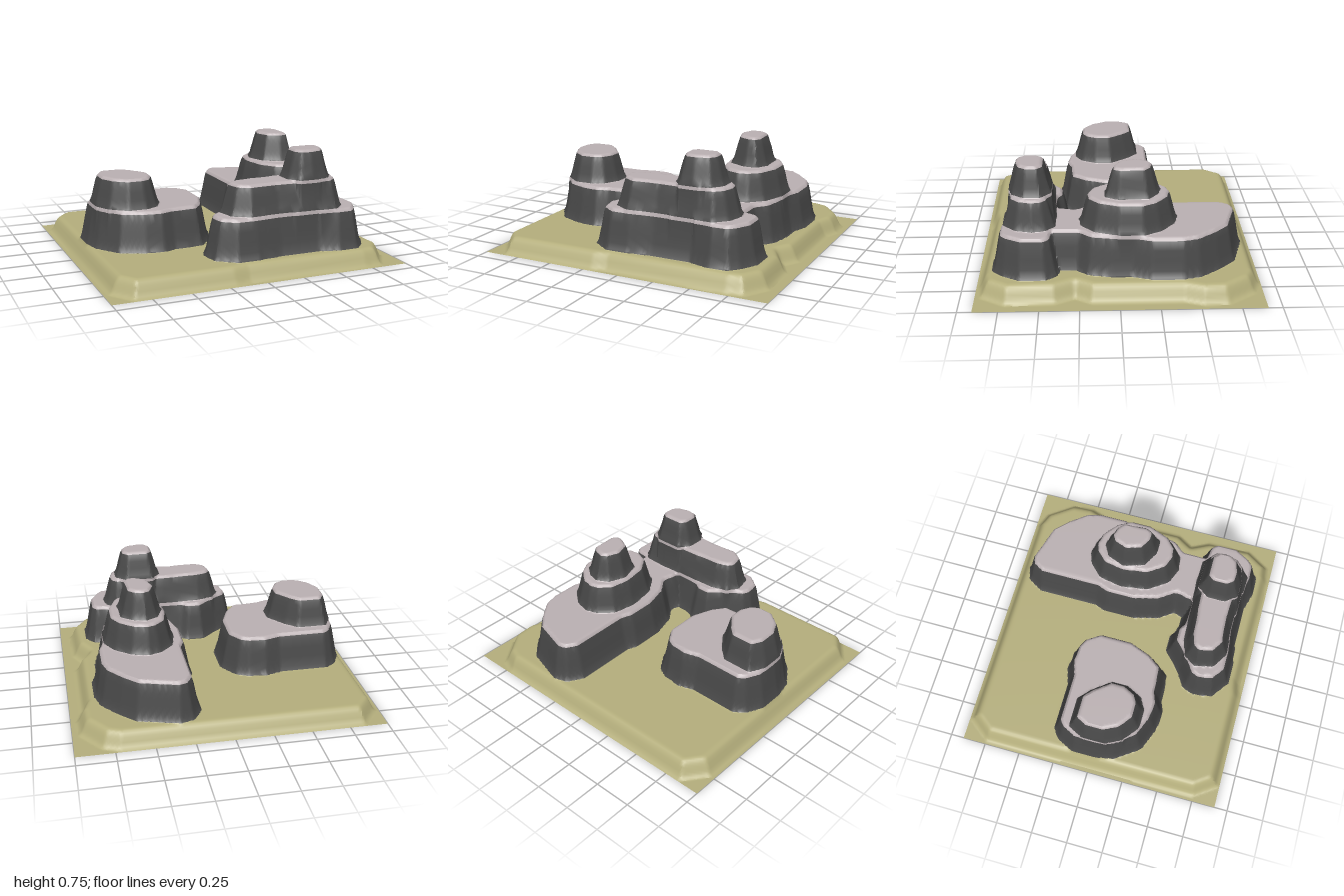
import * as THREE from 'three';
import { toCreasedNormals } from 'three/addons/utils/BufferGeometryUtils.js';

// Terraces: foot outline (x, z pairs), foot height, top height
const GROUND = [-.98, -.75, -.86, -.905, .72, -.905, .83, -.86, .96, -.68, .97, -.52, .93, -.4, .93, .18, .87, .28,
  .93, .4, .94, .72, .84, .88, .72, .9, -.1, .885, -.2, .905, -.86, .905, -.97, .75];
const LEFT_1 = [-.91, -.13, -.85, -.25, -.78, -.30, -.45, -.30, -.35, -.33, -.22, -.32, -.14, -.28, -.06, -.16, -.06, .08,
  -.12, .24, -.21, .36, -.40, .37, -.48, .40, -.61, .385, -.77, .32, -.88, .16, -.91, .03];
const LEFT_2 = [-.86, -.06, -.80, -.175, -.60, -.175, -.52, -.10, -.43, .02, -.43, .14, -.48, .24, -.56, .285,
  -.69, .285, -.80, .20, -.86, .08];
const RIGHT_1 = [.18, -.56, .18, -.70, .24, -.80, .33, -.83, .46, -.79, .60, -.75, .70, -.65, .80, -.52, .83, -.41,
  .83, -.20, .79, -.08, .79, .05, .76, .20, .70, .27, .70, .55, .25, .55, .25, .36, .27, .29, .20, .19, .15, 0,
  .15, -.20, .18, -.28];
const RIGHT_2 = [.26, -.11, .29, -.27, .38, -.36, .46, -.385, .57, -.36, .68, -.27, .74, -.16, .74, 0, .68, .16,
  .59, .24, .49, .255, .38, .21, .29, .08];
const RIGHT_3 = [.335, -.11, .38, -.23, .46, -.275, .55, -.25, .62, -.19, .63, 0, .585, .09, .49, .09, .38, .03];
const FRONT_1 = [-.29, .57, -.26, .49, -.15, .42, -.03, .31, .09, .31, .14, .345, .30, .36, .66, .37, .77, .39, .82, .46,
  .82, .63, .76, .74, .70, .80, .57, .81, .43, .77, .17, .77, 0, .79, -.15, .79, -.27, .70];
const FRONT_2 = [-.17, .53, -.12, .45, -.02, .42, .25, .40, .45, .395, .60, .40, .66, .46, .68, .55, .65, .66, .57, .74,
  .43, .735, .17, .715, -.03, .73, -.14, .66];
const FRONT_3 = [.265, .50, .32, .42, .51, .42, .585, .49, .585, .60, .53, .68, .42, .71, .32, .70, .265, .62];

const Y = [0, .11, .37, .565, .755];
const GROUND_SLOPE = [[0, 0], [.02, .15], [.05, .75], [.065, .93], [.085, 1]];
const CLIFF_SLOPE = [[0, 0], [.014, .12], [.045, .75], [.056, .93], [.072, 1]];
const TERRACES = [[GROUND, 0], [LEFT_1, 1], [RIGHT_1, 1], [FRONT_1, 1], [LEFT_2, 2], [RIGHT_2, 2], [FRONT_2, 2],
  [RIGHT_3, 3], [FRONT_3, 3]];

// Distance inside a closed outline (negative outside)
function inset(poly, x, z) {
  let best = Infinity, inside = false;
  for (let i = 0, j = poly.length - 2; i < poly.length; j = i, i += 2) {
    const ax = poly[j], az = poly[j + 1], bx = poly[i], bz = poly[i + 1];
    const ex = bx - ax, ez = bz - az;
    const t = THREE.MathUtils.clamp(((x - ax) * ex + (z - az) * ez) / (ex * ex + ez * ez), 0, 1);
    best = Math.min(best, Math.hypot(x - ax - t * ex, z - az - t * ez));
    if ((az > z) !== (bz > z) && x < ax + (z - az) / ez * ex) inside = !inside;
  }
  return inside ? best : -best;
}

// Rise along a slope, 0 at the foot to 1 at the rim
function rise(slope, d) {
  for (let i = 1; i < slope.length; i++) {
    const [d0, h0] = slope[i - 1], [d1, h1] = slope[i];
    if (d < d1) return h0 + (h1 - h0) * (d - d0) / (d1 - d0);
  }
  return 1;
}

function heightAt(x, z) {
  let y = 0;
  for (const [poly, tier] of TERRACES) {
    const d = inset(poly, x, z);
    if (d <= 0) continue;
    const slope = tier === 0 ? GROUND_SLOPE : CLIFF_SLOPE;
    y = Math.max(y, Y[tier] + (Y[tier + 1] - Y[tier]) * rise(slope, d));
  }
  return y;
}

// Keep the part of a polygon above (sign 1) or below (sign -1) a level
function clip(poly, level, sign) {
  const out = [];
  poly.forEach((a, i) => {
    const b = poly[(i + 1) % poly.length];
    const da = (a.y - level) * sign, db = (b.y - level) * sign;
    if (da >= 0) out.push(a);
    if ((da > 0 && db < 0) || (da < 0 && db > 0)) {
      // interpolate upward so that neighbours share the same point
      const [p, q] = a.y < b.y ? [a, b] : [b, a];
      out.push(p.clone().lerp(q, (level - p.y) / (q.y - p.y)));
    }
  });
  return out;
}

export function createModel() {
  const group = new THREE.Group();
  const material = (name, color) => {
    const m = new THREE.MeshStandardMaterial({ color, side: THREE.DoubleSide });
    m.name = name;
    return m;
  };
  const sand = material('sand', 0xb4ae7c);
  const rock = material('dark rock', 0x484848);
  const ledge = material('pale ledge', 0xbab0b2);

  // Height bands, each one a part
  const bands = [
    ['ground', sand, -1, .112],
    ['lowerCliffs', rock, .112, .35], ['lowerLedges', ledge, .35, .374],
    ['middleCliffs', rock, .374, .548], ['middleLedges', ledge, .548, .569],
    ['upperCliffs', rock, .569, .74], ['summits', ledge, .74, 2],
  ].map(([name, mat, low, high]) => ({ name, mat, low, high, points: [] }));

  // Terrain grid
  const nx = 160, nz = 146, halfX = 1, halfZ = .91;
  const grid = [];
  for (let j = 0; j <= nz; j++) {
    for (let i = 0; i <= nx; i++) {
      const x = -halfX + 2 * halfX * i / nx, z = -halfZ + 2 * halfZ * j / nz;
      grid.push(new THREE.Vector3(x, heightAt(x, z), z));
    }
  }

  // Cut every triangle into the bands it crosses
  const addTriangle = (a, b, c) => {
    const low = Math.min(a.y, b.y, c.y), high = Math.max(a.y, b.y, c.y);
    for (const band of bands) {
      if (high < band.low || low > band.high) continue;
      const poly = clip(clip([a, b, c], band.low, 1), band.high, -1);
      for (let k = 2; k < poly.length; k++) {
        for (const p of [poly[0], poly[k - 1], poly[k]]) band.points.push(p.x, p.y, p.z);
      }
    }
  };
  for (let j = 0; j < nz; j++) {
    for (let i = 0; i < nx; i++) {
      const k = j * (nx + 1) + i;
      const a = grid[k], b = grid[k + 1], c = grid[k + nx + 1], d = grid[k + nx + 2];
      // split along the more level diagonal
      if (Math.abs(a.y - d.y) < Math.abs(b.y - c.y)) {
        addTriangle(a, c, d);
        addTriangle(a, d, b);
      } else {
        addTriangle(a, c, b);
        addTriangle(b, c, d);
      }
    }
  }

  for (const { name, mat, points } of bands) {
    const geometry = new THREE.BufferGeometry();
    geometry.setAttribute('position', new THREE.Float32BufferAttribute(points, 3));
    const mesh = new THREE.Mesh(toCreasedNormals(geometry, .6), mat);
    mesh.name = name;
    group.add(mesh);
  }
  return group;
}
